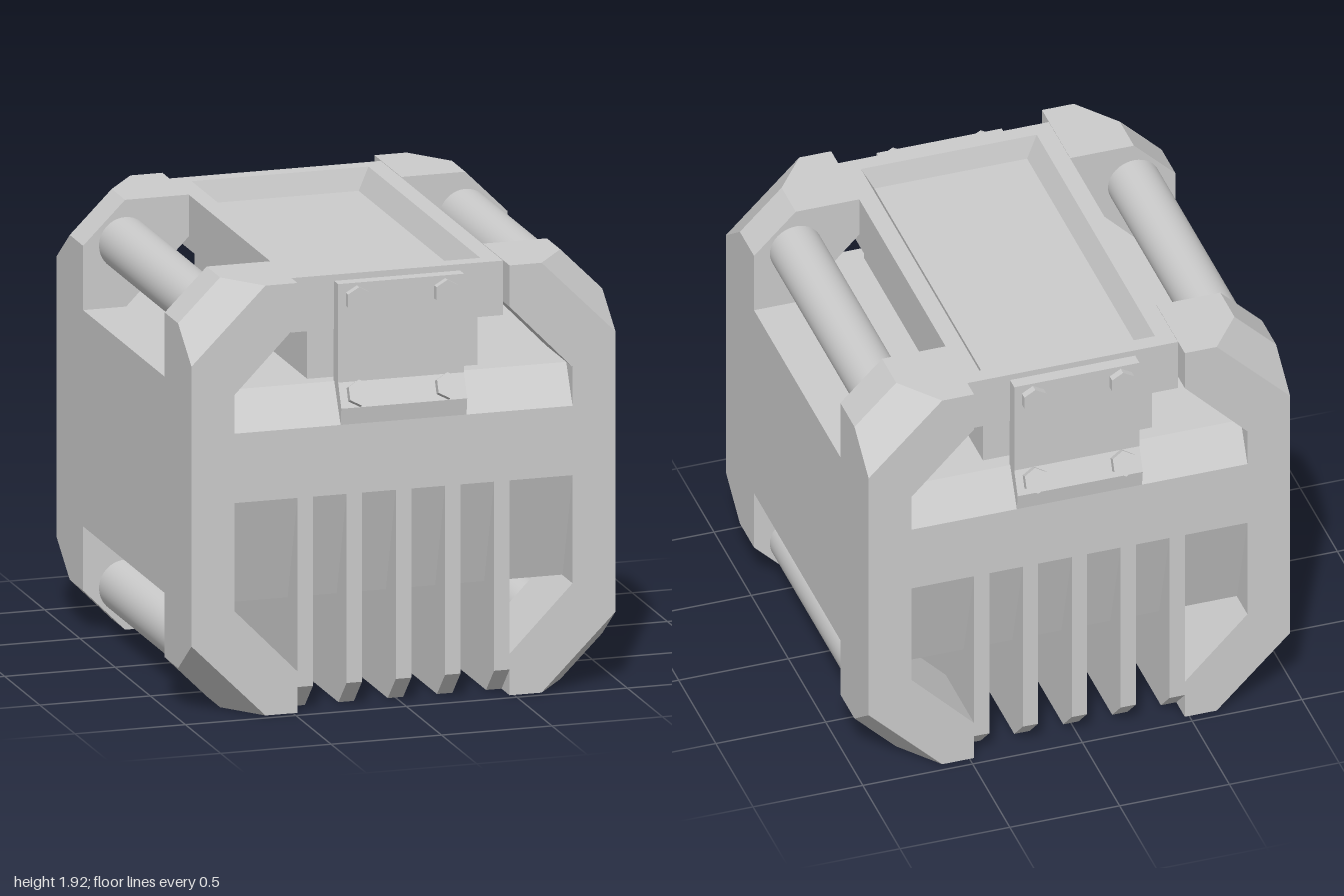
import * as THREE from 'three';
import { ConvexGeometry } from 'three/addons/geometries/ConvexGeometry.js';

const mat = new THREE.MeshStandardMaterial({ color: 0xcccccc });
const flat = new THREE.MeshStandardMaterial({ color: 0xcccccc, flatShading: true });

function add(parent, name, geometry, x = 0, y = 0, z = 0, material = flat) {
  const mesh = new THREE.Mesh(geometry, material);
  mesh.name = name;
  mesh.position.set(x, y, z);
  parent.add(mesh);
  return mesh;
}

// Extrude a (z, y) profile along x, centred on x = 0
function sideProfile(points, width) {
  const shape = new THREE.Shape(points.map(([z, y]) => new THREE.Vector2(z, y)));
  return new THREE.ExtrudeGeometry(shape, { depth: width, bevelEnabled: false })
    .translate(0, 0, -width / 2).rotateY(-Math.PI / 2);
}

// Close a half profile by mirroring it in z
const mirrored = (half) => [...half, ...half.map(([z, y]) => [-z, y]).reverse()];

// Corner block: three cross-sections, the outer one with a larger chamfer
function cornerGeometry(sx, sy, sz) {
  const pts = [];
  for (const [z, c] of [[0.58, 0.19], [0.77, 0.19], [0.96, 0.335]]) {
    const section = [[0.96, 0.483], [0.96, 0.96 - c], [0.96 - c, 0.96], [0.48, 0.96], [0.48, 0.775], [0.765, 0.483]];
    for (const [x, y] of section) pts.push(new THREE.Vector3(sx * x, 0.96 + sy * y, sz * z));
  }
  return new ConvexGeometry(pts);
}

// Stack of rectangular loops [halfX, halfZ, y], capped at both ends
function rectLoops(loops) {
  const pos = [];
  const idx = [];
  for (const [x, z, y] of loops) pos.push(x, y, z, x, y, -z, -x, y, -z, -x, y, z);
  for (let l = 0; l < loops.length - 1; l++) {
    for (let i = 0; i < 4; i++) {
      const a = l * 4 + i, b = l * 4 + (i + 1) % 4;
      idx.push(a, b, b + 4, a, b + 4, a + 4);
    }
  }
  const t = (loops.length - 1) * 4;
  idx.push(0, 2, 1, 0, 3, 2, t, t + 1, t + 2, t, t + 2, t + 3);
  const g = new THREE.BufferGeometry();
  g.setAttribute('position', new THREE.Float32BufferAttribute(pos, 3));
  g.setIndex(idx);
  const out = g.toNonIndexed();
  out.computeVertexNormals();
  return out;
}

export function createModel() {
  const model = new THREE.Group();
  model.name = 'framedContainer';

  // Central body with bevelled upper edges and undercut lower faces
  const body = mirrored([[0.82, 0.48], [0.96, 0.96], [0.96, 1.27], [0.87, 1.443]]);
  add(model, 'body', sideProfile(body, 1.53));

  // Side walls, corner blocks and recessed rods
  for (const sx of [1, -1]) {
    add(model, 'sideWall', new THREE.BoxGeometry(0.195, 0.966, 1.92), sx * 0.8625, 0.96, 0);
    for (const sy of [1, -1]) {
      for (const sz of [1, -1]) add(model, 'cornerBlock', cornerGeometry(sx, sy, sz));
      const rod = new THREE.CylinderGeometry(0.118, 0.118, 1.18, 40).rotateX(Math.PI / 2);
      add(model, 'rod', rod, sx * 0.77, 0.96 + sy * 0.765, 0, mat);
    }
  }

  // Vertical ribs wrapping the underside
  const rib = sideProfile(mirrored([[0.845, 0], [0.96, 0.115], [0.96, 0.96]]), 0.07);
  for (const x of [-0.445, -0.223, 0, 0.223, 0.445]) add(model, 'rib', rib, x);

  // Upper container: neck and tray with sloping inner walls
  add(model, 'trayNeck', new THREE.BoxGeometry(0.77, 0.25, 1.6), 0, 1.555, 0);
  add(model, 'tray', rectLoops([
    [0.48, 0.868, 1.675], [0.48, 0.868, 1.918], [0.4, 0.795, 1.918], [0.348, 0.77, 1.82],
  ]));

  // Bent bolted plates, front and back
  const plateShape = [[0.86, 1.89], [0.86, 1.44], [0.95, 1.27], [0.96, 1.27], [0.971, 1.345], [0.925, 1.45], [0.925, 1.89]];
  for (const turn of [0, Math.PI]) {
    const bracket = new THREE.Group();
    bracket.name = turn ? 'backBracket' : 'frontBracket';
    bracket.rotation.y = turn;
    add(bracket, 'plate', sideProfile(plateShape, 0.57));
    const bolt = new THREE.CylinderGeometry(0.058, 0.058, 0.06, 6).rotateX(Math.PI / 2);
    for (const x of [-0.2, 0.2]) {
      add(bracket, 'upperBolt', bolt, x, 1.82, 0.928);
      add(bracket, 'lowerBolt', bolt, x, 1.4, 0.95).rotation.x = -0.41;
    }
    model.add(bracket);
  }
  return model;
}
